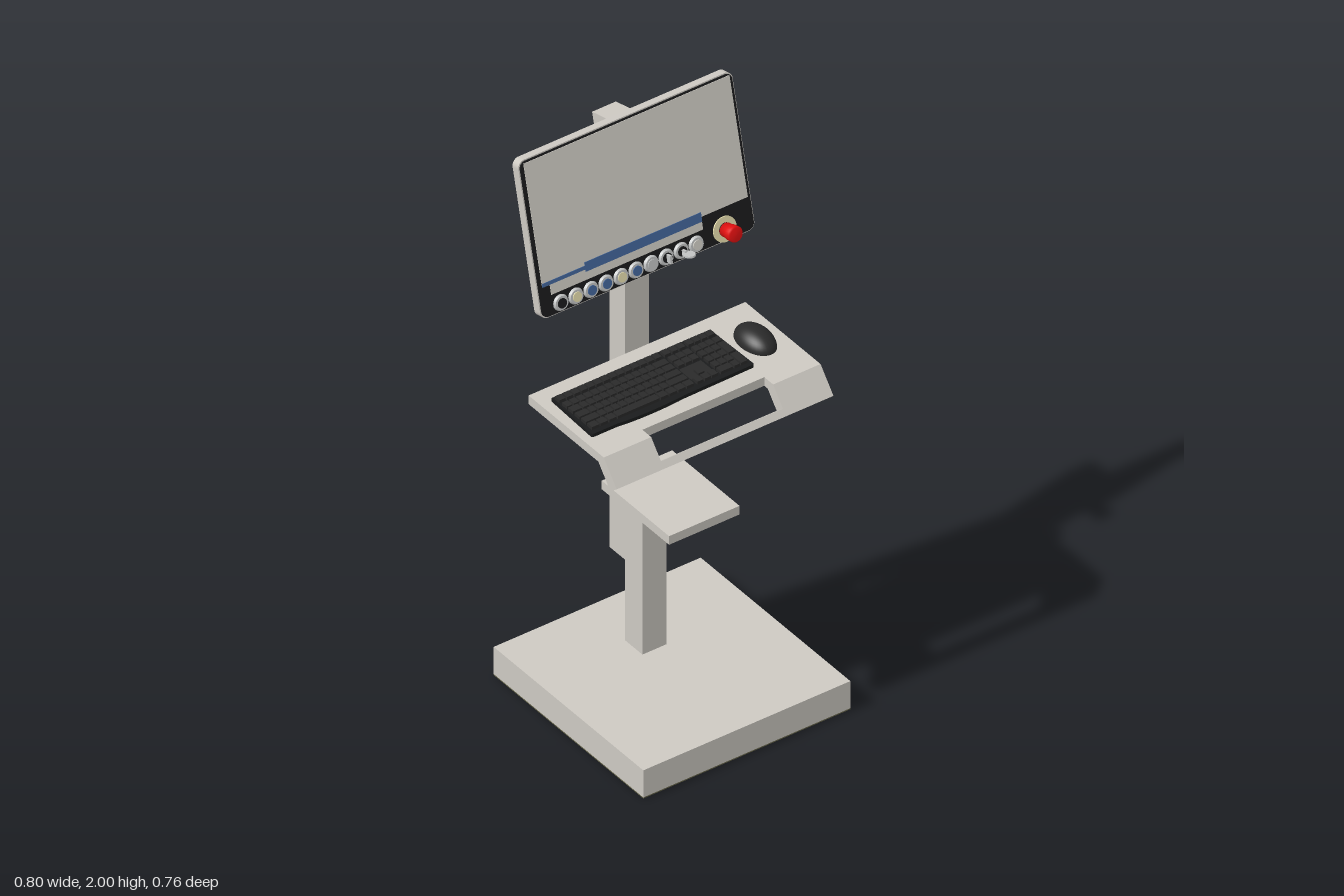
import * as THREE from 'three';

const mat = (name, color) => {
  const m = new THREE.MeshStandardMaterial({ color });
  m.name = name;
  return m;
};

export function createModel() {
  const M = {
    body: mat('warm light grey', 0xcdc9c2),
    screen: mat('screen grey', 0xd3d0c8),
    under: mat('dark olive', 0x66654a),
    black: mat('black', 0x1a1b1c),
    key: mat('charcoal', 0x2a2a2a),
    blue: mat('blue', 0x44679c),
    silver: mat('silver', 0xc2c4c4),
    red: mat('red', 0xe01010),
    cream: mat('pale yellow', 0xe8e0b0),
  };
  const root = new THREE.Group();
  root.name = 'workstation';

  const add = (parent, name, geo, m, x = 0, y = 0, z = 0) => {
    const mesh = new THREE.Mesh(geo, m);
    mesh.name = name;
    mesh.position.set(x, y, z);
    parent.add(mesh);
    return mesh;
  };
  // box given by its limits on each axis
  const slab = (parent, name, m, x0, x1, y0, y1, z0, z1) =>
    add(parent, name, new THREE.BoxGeometry(x1 - x0, y1 - y0, z1 - z0), m,
      (x0 + x1) / 2, (y0 + y1) / 2, (z0 + z1) / 2);
  // side profile of [z, y] points extruded from x0 to x1
  const sideExtrude = (name, pts, x0, x1) => {
    const shape = new THREE.Shape(pts.map(p => new THREE.Vector2(p[0], p[1])));
    const geo = new THREE.ExtrudeGeometry(shape, { depth: x1 - x0, bevelEnabled: false });
    geo.rotateY(-Math.PI / 2);
    return add(root, name, geo, M.body, x1);
  };
  const roundedRect = (w, h, r) => {
    const s = new THREE.Shape(), x = w / 2, y = h / 2, q = Math.PI / 2;
    s.absarc(x - r, y - r, r, 0, q);
    s.absarc(-x + r, y - r, r, q, 2 * q);
    s.absarc(-x + r, -y + r, r, 2 * q, 3 * q);
    s.absarc(x - r, -y + r, r, 3 * q, 4 * q);
    return s;
  };

  // Base, posts and small shelf
  slab(root, 'base', M.body, -0.382, 0.382, 0.004, 0.105, -0.382, 0.382);
  slab(root, 'baseUnderside', M.under, -0.382, 0.382, 0, 0.004, -0.382, 0.382);
  slab(root, 'lowerPost', M.body, -0.044, 0.044, 0.105, 0.705, -0.179, -0.09);
  sideExtrude('upperPost', [[-0.179, 0.405], [-0.179, 1.615], [-0.27, 1.992],
    [-0.347, 1.973], [-0.259, 1.605], [-0.259, 0.405]], -0.044, 0.044);
  slab(root, 'shelf', M.body, -0.13, 0.13, 0.705, 0.737, -0.179, 0.165);

  // Keyboard tray with a bent lip and a handle opening
  slab(root, 'tray', M.body, -0.4, 0.4, 1.14, 1.172, -0.179, 0.16);
  const lip = [[0.16, 1.14], [0.16, 1.172], [0.205, 1.172], [0.271, 1.093], [0.239, 1.066], [0.177, 1.14]];
  sideExtrude('lipRight', lip, -0.4, -0.225);
  sideExtrude('lipLeft', lip, 0.225, 0.4);
  sideExtrude('handleBar', [[0.255, 1.112], [0.271, 1.093], [0.239, 1.066], [0.223, 1.085]], -0.225, 0.225);

  // Keyboard: body with a bowed front edge
  const keyboard = new THREE.Group();
  keyboard.name = 'keyboard';
  root.add(keyboard);
  const kb = new THREE.Shape();
  kb.moveTo(-0.362, 0.115);
  kb.lineTo(-0.37, -0.095);
  kb.quadraticCurveTo(-0.37, -0.104, -0.36, -0.104);
  kb.lineTo(-0.28, -0.104);
  kb.quadraticCurveTo(-0.17, -0.118, -0.03, -0.106);
  kb.lineTo(0.22, -0.102);
  kb.quadraticCurveTo(0.23, -0.102, 0.23, -0.095);
  kb.lineTo(0.224, 0.115);
  kb.closePath();
  const kbGeo = new THREE.ExtrudeGeometry(kb, { depth: 0.012, bevelEnabled: false });
  kbGeo.rotateX(-Math.PI / 2);
  add(keyboard, 'keyboardBody', kbGeo, M.black, 0, 1.172, 0);

  // Key rows: widths fill each span evenly, with a few wide keys
  const keyRow = (x0, x1, z, widths) => {
    const unit = (x1 - x0) / widths.reduce((a, b) => a + b, 0);
    let x = x0;
    for (const w of widths) {
      slab(keyboard, 'key', M.key, x + 0.0025, x + w * unit - 0.0025, 1.183, 1.195, z - 0.0125, z + 0.0125);
      x += w * unit;
    }
  };
  const ones = n => Array(n).fill(1);
  const rowZ = [-0.092, -0.054, -0.023, 0.01, 0.042, 0.074];
  const mainRows = [ones(14), [...ones(13), 2], [1.5, ...ones(12), 1.5], [1.75, ...ones(11), 2.25],
    [2.25, ...ones(10), 2.75], [1.25, 1.25, 1.25, 6.25, 1.25, 1.25, 1.25, 1.25]];
  rowZ.forEach((z, i) => {
    keyRow(-0.36, 0.022, z, mainRows[i]);
    if (i === 4) keyRow(0.056, 0.083, z, [1]);
    else if (i !== 3) keyRow(0.029, 0.11, z, ones(3));
    if (i > 0) keyRow(0.116, 0.19, z, i === 5 ? [2, 1] : ones(3));
    else keyRow(0.116, 0.19, z, ones(3));
  });
  slab(keyboard, 'navPad', M.key, 0.03, 0.11, 1.183, 1.186, -0.005, 0.058);
  for (const [a, b] of [[-0.104, -0.08], [-0.066, -0.042], [-0.035, 0.022], [0.03, 0.086]])
    slab(keyboard, 'tallKey', M.key, 0.193, 0.217, 1.183, 1.195, a, b);

  // Mouse: half dome
  const mouse = add(root, 'mouse', new THREE.SphereGeometry(1, 32, 12, 0, Math.PI * 2, 0, Math.PI / 2),
    M.key, 0.309, 1.172, -0.002);
  mouse.scale.set(0.054, 0.048, 0.083);

  // Display: local y runs up the panel, local z out of its face
  const display = new THREE.Group();
  display.name = 'display';
  display.position.set(0, 1.485, -0.117);
  display.rotation.x = -0.232;
  root.add(display);
  add(display, 'displayHousing', new THREE.ExtrudeGeometry(roundedRect(0.79, 0.53, 0.025),
    { depth: 0.031, bevelEnabled: false, curveSegments: 8 }), M.body, 0, 0.265, -0.035);
  add(display, 'bezel', new THREE.ExtrudeGeometry(roundedRect(0.782, 0.522, 0.022),
    { depth: 0.004, bevelEnabled: false, curveSegments: 8 }), M.black, 0, 0.265, -0.004);
  slab(display, 'screen', M.screen, -0.378, 0.382, 0.112, 0.52, 0, 0.002);
  slab(display, 'screenFooter', M.screen, -0.35, 0.21, 0.07, 0.112, 0, 0.002);
  slab(display, 'taskBar', M.blue, -0.22, 0.21, 0.097, 0.128, 0.002, 0.004);
  slab(display, 'taskBarEnd', M.blue, -0.378, -0.22, 0.105, 0.117, 0.002, 0.004);

  // Round fittings facing out of the panel
  const disc = (parent, name, r0, r1, z0, z1, m, x, y) => {
    const g = new THREE.CylinderGeometry(r1, r0, z1 - z0, 28);
    g.rotateX(Math.PI / 2);
    return add(parent, name, g, m, x, y, (z0 + z1) / 2);
  };

  // Row of ten push buttons and switches
  const caps = ['black', 'cream', 'blue', 'blue', 'cream', 'blue', 'silver', 'black', 'black', 'screen'];
  caps.forEach((c, i) => {
    const x = -0.321 + i * 0.0555, y = 0.033;
    disc(display, 'buttonRing', 0.027, 0.023, 0, 0.008, M.silver, x, y);
    disc(display, 'buttonCap', 0.016, 0.016, 0.007, 0.011, M[c], x, y);
  });
  // Selector lever and key in the two switches
  slab(display, 'selectorLever', M.silver, 0.063, 0.071, 0.02, 0.046, 0.008, 0.03);
  slab(display, 'keyShaft', M.silver, 0.119, 0.127, 0.026, 0.04, 0.008, 0.03);
  const bow = disc(display, 'keyBow', 0.018, 0.018, -0.003, 0.003, M.silver, 0.123, 0.033);
  bow.rotation.x = Math.PI / 2;
  bow.scale.y = 1.4;
  bow.position.z = 0.042;

  // Emergency stop
  disc(display, 'stopPlate', 0.042, 0.042, 0, 0.004, M.cream, 0.285, 0.042);
  disc(display, 'stopCollar', 0.022, 0.022, 0.004, 0.014, M.black, 0.285, 0.042);
  const stop = new THREE.LatheGeometry([[0, 0], [0.023, 0], [0.023, 0.026], [0.026, 0.03], [0.026, 0.05],
    [0.022, 0.055], [0, 0.056]].map(p => new THREE.Vector2(p[0], p[1])), 28);
  stop.rotateX(Math.PI / 2);
  add(display, 'stopButton', stop, M.red, 0.285, 0.042, 0.008);

  return root;
}
